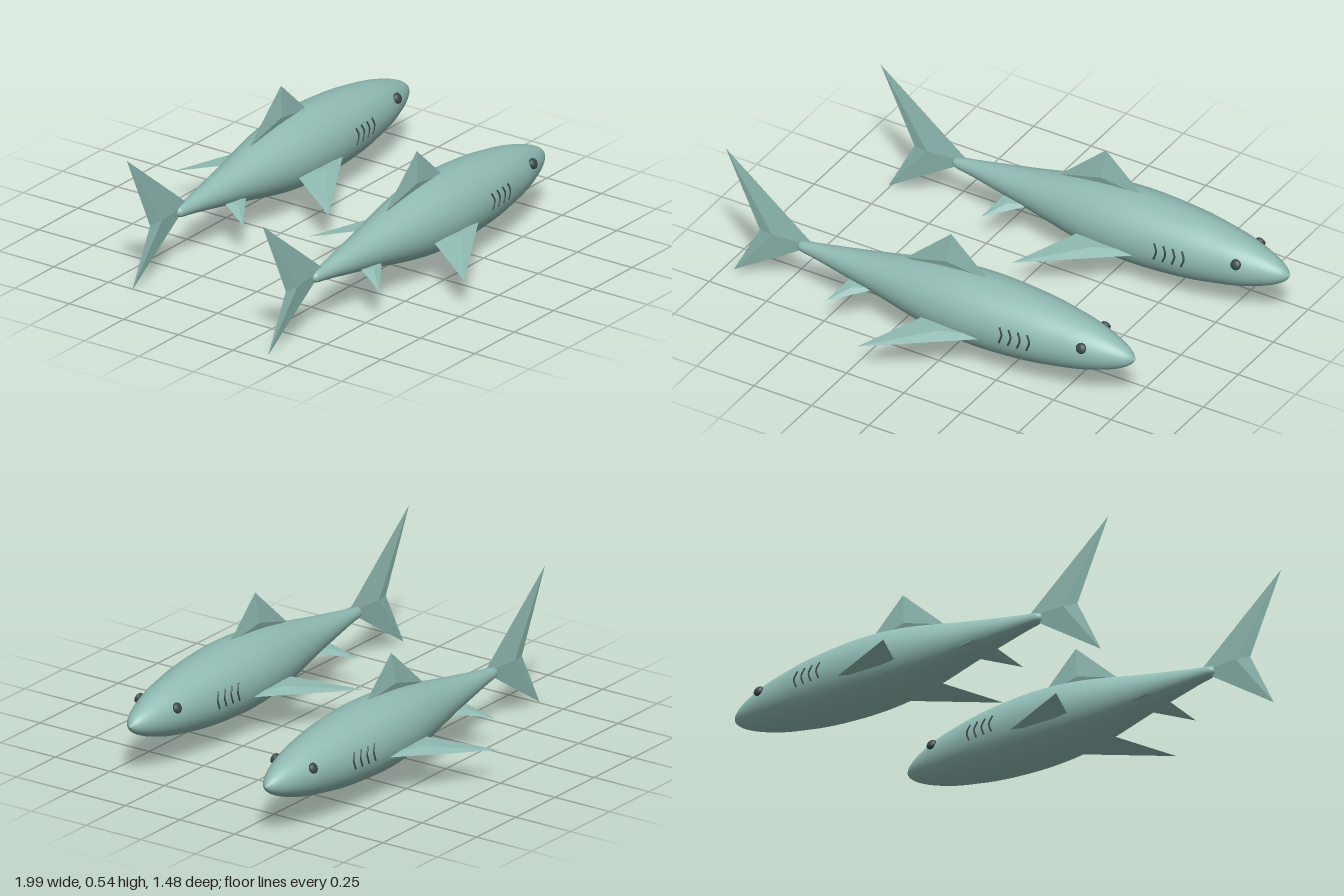
import * as THREE from 'three';

const skin = new THREE.MeshStandardMaterial({ color: 0x8fbab2 });
skin.name = 'blueGreySkin';
const dark = new THREE.MeshStandardMaterial({ color: 0x38474a });
dark.name = 'darkDetail';

const AXIS = 0.218; // height of the body's long axis
const V = (x, y, z) => new THREE.Vector3(x, y, z);

// Body radius along the length, tail to nose
const profile = new THREE.SplineCurve([
  [-0.685, 0], [-0.675, 0.016], [-0.65, 0.024], [-0.58, 0.034], [-0.35, 0.075], [-0.08, 0.127],
  [0.13, 0.144], [0.35, 0.134], [0.5, 0.113], [0.6, 0.093], [0.7, 0.061], [0.76, 0.03], [0.787, 0],
].map(([x, r]) => new THREE.Vector2(x, r)));
const bodyPoints = profile.getPoints(60).map((p) => new THREE.Vector2(Math.max(p.y, 0), p.x));

function radiusAt(x) {
  const i = Math.max(1, bodyPoints.findIndex((p) => p.y >= x));
  const a = bodyPoints[i - 1], b = bodyPoints[i];
  return THREE.MathUtils.lerp(a.x, b.x, (x - a.y) / (b.y - a.y));
}

function add(group, name, geometry, material) {
  const mesh = new THREE.Mesh(geometry, material);
  mesh.name = name;
  group.add(mesh);
  return mesh;
}

// Faceted fin: a flat outline with a raised point on either side
function finGeometry(outline, centre, thickness) {
  const normal = V(0, 0, 0);
  outline.forEach((a, i) => {
    const b = outline[(i + 1) % outline.length];
    normal.add(a.clone().sub(centre).cross(b.clone().sub(centre)));
  });
  normal.setLength(thickness);
  const front = centre.clone().add(normal), back = centre.clone().sub(normal);
  const corners = [];
  outline.forEach((a, i) => {
    const b = outline[(i + 1) % outline.length];
    corners.push(front, a, b, back, b, a);
  });
  const geometry = new THREE.BufferGeometry().setFromPoints(corners);
  geometry.computeVertexNormals();
  return geometry;
}

function createFish() {
  const fish = new THREE.Group();

  const body = new THREE.LatheGeometry(bodyPoints, 40);
  body.rotateZ(-Math.PI / 2).translate(0, AXIS, 0);
  add(fish, 'body', body, skin);

  // Upright fins
  add(fish, 'dorsalFin', finGeometry(
    [V(-0.215, 0.325, 0), V(0.15, 0.35, 0), V(-0.016, 0.502, 0)], V(-0.03, 0.38, 0), 0.012), skin);
  add(fish, 'tailFin', finGeometry(
    [V(-0.61, 0.235, 0), V(-0.998, 0.54, 0), V(-0.85, 0.225, 0), V(-0.963, 0.005, 0)],
    V(-0.79, 0.228, 0), 0.011), skin);

  // Paired parts
  for (const [side, s] of [['right', 1], ['left', -1]]) {
    add(fish, side + 'PectoralFin', finGeometry(
      [V(0.28, 0.19, 0.085 * s), V(-0.21, 0.134, 0.357 * s), V(-0.05, 0.185, 0.085 * s)],
      V(0.03, 0.17, 0.17 * s), 0.014), skin);
    add(fish, side + 'PelvicFin', finGeometry(
      [V(-0.29, 0.185, 0.04 * s), V(-0.468, 0.13, 0.152 * s), V(-0.43, 0.18, 0.04 * s)],
      V(-0.4, 0.165, 0.078 * s), 0.008), skin);

    const eye = add(fish, side + 'Eye', new THREE.SphereGeometry(0.021, 16, 12), dark);
    eye.scale.z = 0.6;
    eye.position.set(0.603, AXIS + 0.04, 0.088 * s);
    eye.rotation.x = -0.42 * s;

    // Bent gill slits that follow the flank
    for (let i = 0; i < 4; i++) {
      const x = 0.275 + i * 0.038;
      const points = [[0, 0.045], [0.012, 0.015], [0, -0.022]].map(([dx, dy]) =>
        V(x + dx, AXIS + dy, s * Math.sqrt(radiusAt(x + dx) ** 2 - dy * dy)));
      add(fish, side + 'GillSlit' + (i + 1),
        new THREE.TubeGeometry(new THREE.CatmullRomCurve3(points), 10, 0.004, 6), dark);
    }
  }
  return fish;
}

export function createModel() {
  const model = new THREE.Group();
  model.name = 'fishPair';
  const near = createFish();
  near.name = 'nearFish';
  near.position.set(0, 0, 0.385);
  const far = createFish();
  far.name = 'farFish';
  far.position.set(0.205, 0, -0.385);
  model.add(near, far);
  return model;
}
